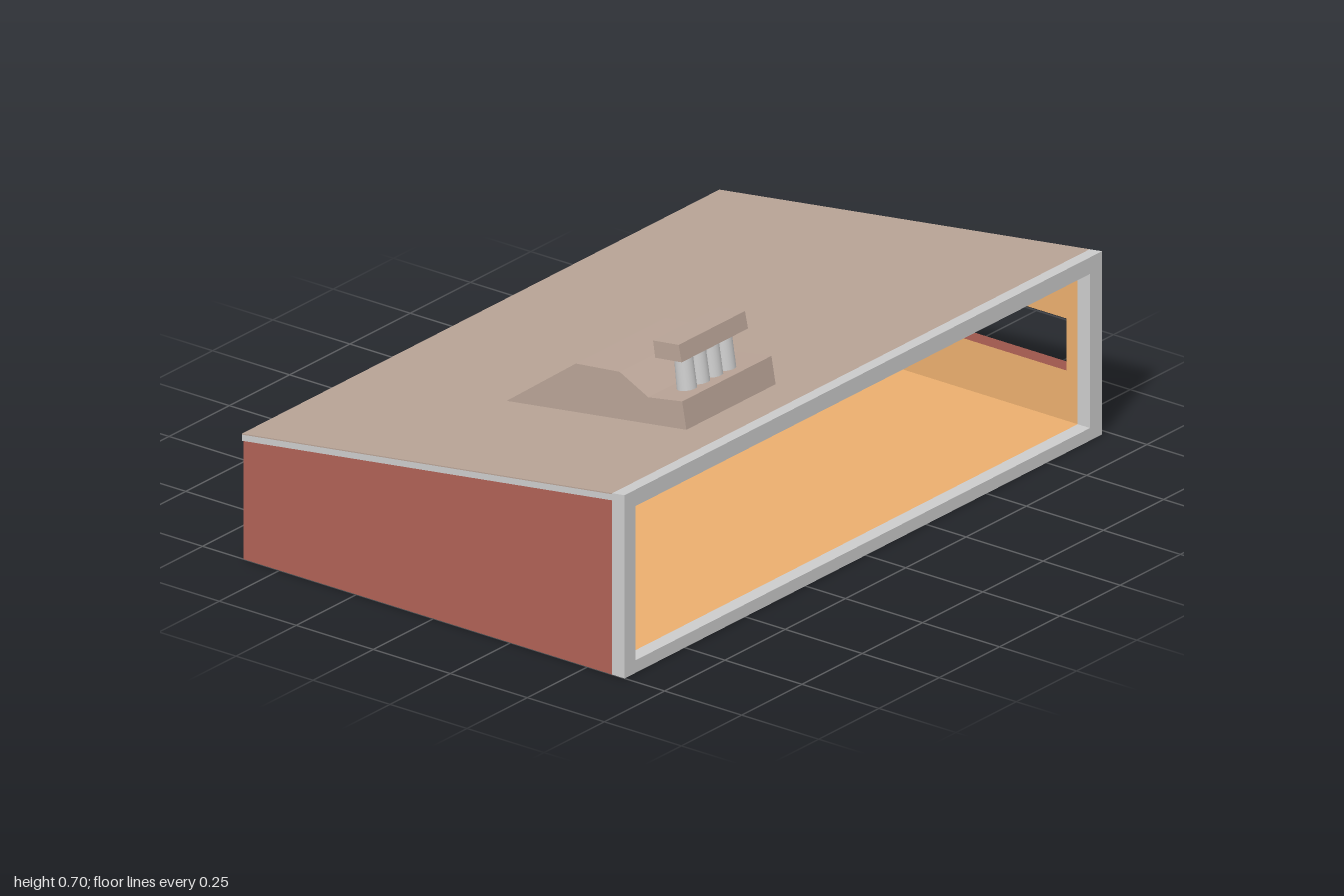
import * as THREE from 'three';

const GREY = 0xcccccc, RED = 0xaf6155, ORANGE = 0xeaae6e, BROWN = 0xb8a396;
const SLOPE = 0.1306, FRONT = 0.62, BACK = -0.617, SPLIT = 0.58;
const LEFT = -1, RIGHT = 0.98;

// height of the sloping roof surface at depth z
const roofY = (z) => 0.511 - SLOPE * (FRONT - z);

export function createModel() {
  const model = new THREE.Group();

  function add(name, geometry, color, parent = model) {
    const mesh = new THREE.Mesh(geometry, new THREE.MeshStandardMaterial({ color, flatShading: true }));
    mesh.name = name;
    parent.add(mesh);
    return mesh;
  }

  // side profile of [z, y] points, extruded from x0 to x1, with optional holes
  const vec = ([z, y]) => new THREE.Vector2(-z, y);
  function profile(points, x0, x1, holes = []) {
    const shape = new THREE.Shape(points.map(vec));
    holes.forEach((h) => shape.holes.push(new THREE.Path(h.map(vec))));
    const geo = new THREE.ExtrudeGeometry(shape, { depth: x1 - x0, bevelEnabled: false });
    return geo.rotateY(Math.PI / 2).translate(x0, 0, 0);
  }
  const rect = (z0, z1, y0, y1) => [[z0, y0], [z1, y0], [z1, y1], [z0, y1]];

  // piece with a flat bottom and a top that runs a fixed distance below the roof
  const wall = (z0, z1, y0, drop) => [[z0, y0], [z1, y0], [z1, roofY(z1) - drop], [z0, roofY(z0) - drop]];
  // slab parallel to the roof
  const slab = (z0, z1, top, bottom) => [
    [z0, roofY(z0) - bottom], [z1, roofY(z1) - bottom], [z1, roofY(z1) - top], [z0, roofY(z0) - top],
  ];

  // outer red skin
  const skin = 0.004;
  const opening = rect(-0.28, 0.543, 0.175, 0.32);
  add('floorSkin', profile(rect(BACK, SPLIT, 0, skin), LEFT, RIGHT), RED);
  add('backSkin', profile(wall(BACK, BACK + skin, skin, 0.02), LEFT, RIGHT), RED);
  add('rightSkin', profile(wall(BACK + skin, SPLIT, skin, 0.02), LEFT, LEFT + skin), RED);
  add('leftSkin', profile(wall(BACK + skin, SPLIT, skin, 0.02), RIGHT - skin, RIGHT, [opening]), RED);

  // inner orange lining
  const inL = -0.955, inR = 0.93, inBack = -0.575;
  add('floorLining', profile(rect(inBack, SPLIT, skin, 0.035), inL, inR), ORANGE);
  add('backLining', profile(wall(BACK + skin, inBack, skin, 0.02), inL, inR), ORANGE);
  add('rightLining', profile(wall(BACK + skin, SPLIT, skin, 0.02), LEFT + skin, inL), ORANGE);
  add('leftLining', profile(wall(BACK + skin, SPLIT, skin, 0.02), inR, RIGHT - skin, [opening]), ORANGE);
  add('ceilingLining', profile(slab(inBack, SPLIT, 0.02, 0.042), inL, inR), ORANGE);

  // roof slab with a brown covering
  add('roofSlab', profile(slab(-0.622, SPLIT, 0.003, 0.02), LEFT, RIGHT), GREY);
  add('roofCovering', profile(slab(-0.622, SPLIT, 0, 0.003), LEFT, RIGHT), BROWN);

  // front frame, its top edge sheared to follow the roof
  const outline = (x0, x1, y0, y1) => [[x0, y0], [x1, y0], [x1, y1], [x0, y1]].map((p) => new THREE.Vector2(...p));
  const frameShape = new THREE.Shape(outline(LEFT, RIGHT, 0, 0.511));
  frameShape.holes.push(new THREE.Path(outline(inL, inR, 0.035, 0.465)));
  const frameGeo = new THREE.ExtrudeGeometry(frameShape, { depth: FRONT - SPLIT, bevelEnabled: false });
  frameGeo.translate(0, 0, SPLIT);
  const pos = frameGeo.attributes.position;
  for (let i = 0; i < pos.count; i++) {
    if (pos.getY(i) > 0.5) pos.setY(i, roofY(pos.getZ(i)));
  }
  frameGeo.computeVertexNormals();
  add('frontFrame', frameGeo, GREY);

  // side window with two openings
  add('sideWindow', profile(rect(-0.288, 0.16, 0.178, 0.321), 0.93, 1, [
    rect(-0.025, 0.13, 0.205, 0.291),
    rect(-0.255, -0.1, 0.205, 0.291),
  ]), GREY);

  // chimney: faceted base, four pipes and a cap, leaning with the roof
  const chimney = new THREE.Group();
  chimney.name = 'chimney';
  model.add(chimney);
  add('chimneyBase', profile([
    [0.457, 0.488], [0.443, 0.565], [0.333, 0.547], [0.24, 0.593], [0.098, 0.578], [-0.13, 0.411],
  ], -0.535, -0.165), BROWN, chimney);
  for (let i = 0; i < 4; i++) {
    const pipe = add('chimneyPipe', new THREE.CylinderGeometry(0.024, 0.027, 0.12, 20), GREY, chimney);
    pipe.material.flatShading = false;
    pipe.position.set(-0.441 + i * 0.054, 0.6, 0.379);
    pipe.rotation.x = -Math.atan(SLOPE);
  }
  add('chimneyCap', profile([[0.418, 0.657], [0.408, 0.703], [0.325, 0.693], [0.332, 0.647]], -0.505, -0.23), BROWN, chimney);

  return model;
}
